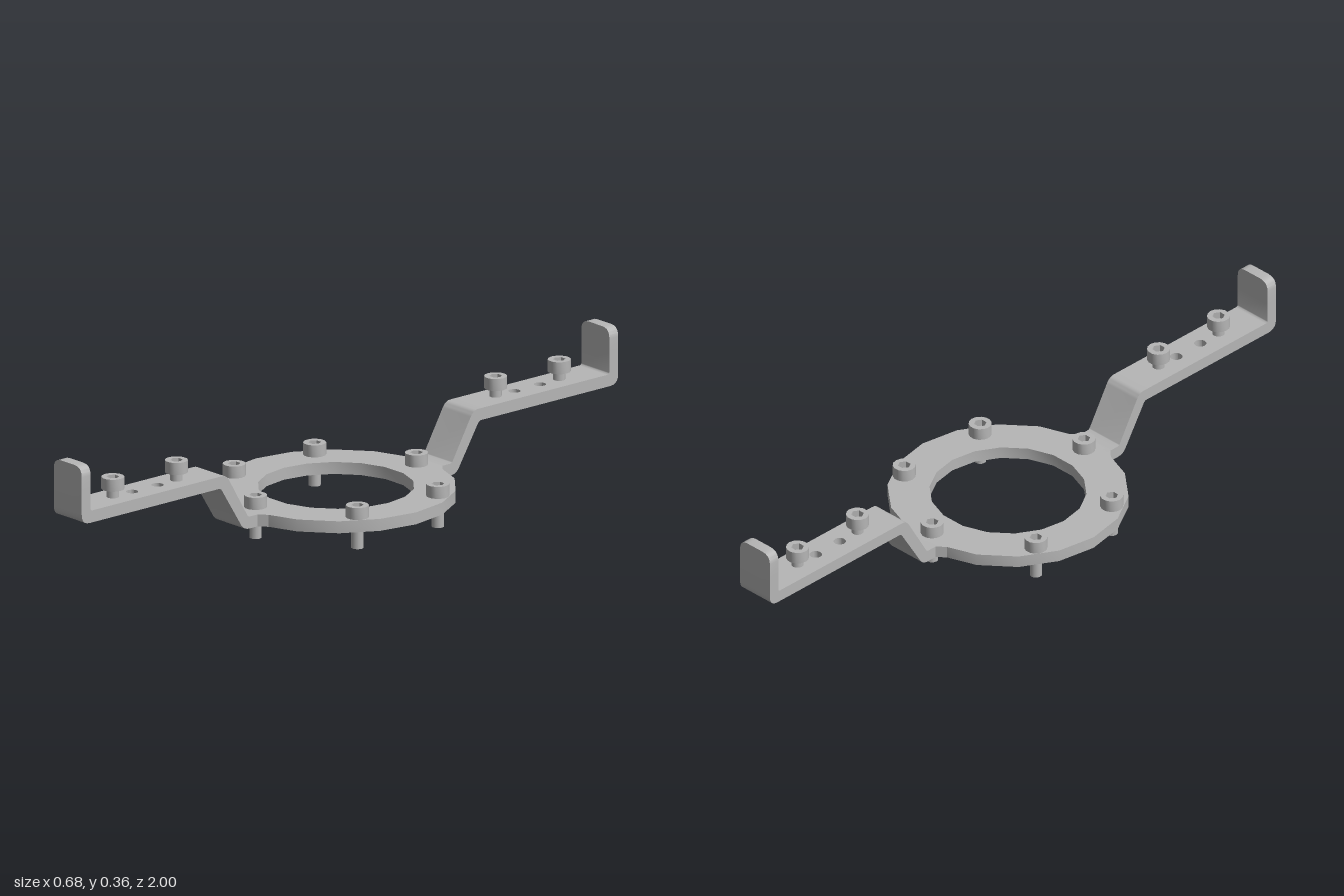
import * as THREE from 'three';
import { toCreasedNormals } from 'three/addons/utils/BufferGeometryUtils.js';

const WIDTH = 0.118, THICK = 0.035;
const RING_TOP = 0.097, PLATE_TOP = 0.236;

function circlePath(cx, cy, r, sides, Type = THREE.Path, turn = 0) {
  const pts = [];
  for (let i = 0; i < sides; i++) {
    const a = turn + (i / sides) * Math.PI * 2;
    pts.push(new THREE.Vector2(cx + r * Math.cos(a), cy + r * Math.sin(a)));
  }
  return new Type(pts);
}

function extrude(shape, depth) {
  return new THREE.ExtrudeGeometry(shape, { depth, bevelEnabled: false, curveSegments: 5 });
}

// Plan shape (x, z) with its upper face at the given height
function slab(shape, top, depth) {
  return toCreasedNormals(extrude(shape, depth).rotateX(Math.PI / 2).translate(0, top, 0), 0.6);
}

// Side profile (z, y) swept across the strap width
function strap(shape) {
  const g = extrude(shape, WIDTH).translate(0, 0, -WIDTH / 2).rotateY(-Math.PI / 2);
  return toCreasedNormals(g, 0.6);
}

export function createModel() {
  const model = new THREE.Group();
  model.name = 'mountingBracket';
  const metal = new THREE.MeshStandardMaterial({ color: 0xb6b6b6 });
  metal.name = 'grey metal';

  const add = (parent, name, geometry) => {
    const mesh = new THREE.Mesh(geometry, metal);
    mesh.name = name;
    parent.add(mesh);
    return mesh;
  };

  // Central ring
  const ring = circlePath(0, 0, 0.338, 18, THREE.Shape);
  ring.holes.push(circlePath(0, 0, 0.22, 18));
  add(model, 'ring', slab(ring, RING_TOP, THICK));

  // Socket-head bolt: head, socket floor and shank
  const headShape = circlePath(0, 0, 0.0325, 14, THREE.Shape);
  headShape.holes.push(circlePath(0, 0, 0.018, 6));
  const headGeo = slab(headShape, 0.035, 0.035);
  const floorGeo = new THREE.CylinderGeometry(0.025, 0.025, 0.014, 12).translate(0, 0.008, 0);
  const bolt = (parent, name, x, y, z, length) => {
    const group = new THREE.Group();
    group.name = name;
    group.position.set(x, y, z);
    add(group, 'boltHead', headGeo);
    add(group, 'socketFloor', floorGeo);
    add(group, 'boltShank', new THREE.CylinderGeometry(0.0175, 0.0175, length, 12)
      .translate(0, -length / 2 + 0.002, 0));
    parent.add(group);
  };

  // Six bolts through the ring
  for (let i = 0; i < 6; i++) {
    const a = (i / 6) * Math.PI * 2;
    bolt(model, 'ringBolt', 0.3 * Math.sin(a), RING_TOP, 0.3 * Math.cos(a), 0.092);
  }

  // Cranked step rising from the ring to the plate
  const lo = RING_TOP - THICK, hi = PLATE_TOP - THICK;
  const step = new THREE.Shape();
  step.moveTo(0.322, lo);
  step.lineTo(0.375, lo);
  step.quadraticCurveTo(0.398, lo, 0.408, lo + 0.02);
  step.lineTo(0.478, hi - 0.006);
  step.quadraticCurveTo(0.482, hi, 0.49, hi);
  step.lineTo(0.5, hi);
  step.lineTo(0.5, PLATE_TOP);
  step.lineTo(0.478, PLATE_TOP);
  step.quadraticCurveTo(0.46, PLATE_TOP, 0.45, PLATE_TOP - 0.018);
  step.lineTo(0.383, RING_TOP + 0.006);
  step.quadraticCurveTo(0.38, RING_TOP, 0.372, RING_TOP);
  step.lineTo(0.322, RING_TOP);
  const stepGeo = strap(step);

  // Flat plate with four holes
  const w = WIDTH / 2;
  const plate = new THREE.Shape();
  plate.moveTo(-w, 0.5);
  plate.lineTo(w, 0.5);
  plate.lineTo(w, 0.95);
  plate.lineTo(-w, 0.95);
  for (const z of [0.595, 0.665, 0.76, 0.832]) plate.holes.push(circlePath(0, z, 0.0175, 12));
  const plateGeo = slab(plate, PLATE_TOP, THICK);

  // Bend into the end tab
  const bend = new THREE.Shape();
  bend.moveTo(0.95, hi);
  bend.lineTo(0.97, hi);
  bend.quadraticCurveTo(1, hi, 1, hi + 0.03);
  bend.lineTo(1, 0.3);
  bend.lineTo(0.967, 0.3);
  bend.lineTo(0.967, PLATE_TOP + 0.008);
  bend.quadraticCurveTo(0.967, PLATE_TOP, 0.959, PLATE_TOP);
  bend.lineTo(0.95, PLATE_TOP);
  const bendGeo = strap(bend);

  // Upright tab with rounded top corners
  const tab = new THREE.Shape();
  tab.moveTo(-w, 0.3);
  tab.lineTo(w, 0.3);
  tab.lineTo(w, 0.34);
  tab.quadraticCurveTo(w, 0.37, w - 0.03, 0.37);
  tab.lineTo(-w + 0.03, 0.37);
  tab.quadraticCurveTo(-w, 0.37, -w, 0.34);
  const tabGeo = toCreasedNormals(extrude(tab, 0.033).translate(0, 0, 0.967), 0.6);

  // Small fillets where the strap meets the ring
  const fillet = new THREE.Shape();
  fillet.moveTo(-0.085, 0.322);
  fillet.lineTo(0.085, 0.322);
  fillet.lineTo(w, 0.345);
  fillet.lineTo(-w, 0.345);
  const filletGeo = slab(fillet, RING_TOP, THICK);

  // Matching arms at front and back
  for (const [name, turn] of [['frontArm', 0], ['backArm', Math.PI]]) {
    const arm = new THREE.Group();
    arm.name = name;
    arm.rotation.y = turn;
    add(arm, 'ringFillet', filletGeo);
    add(arm, 'crankedStep', stepGeo);
    add(arm, 'plate', plateGeo);
    add(arm, 'tabBend', bendGeo);
    add(arm, 'endTab', tabGeo);
    for (const z of [0.595, 0.832]) bolt(arm, 'plateBolt', 0, 0.26, z, 0.05);
    model.add(arm);
  }
  return model;
}
